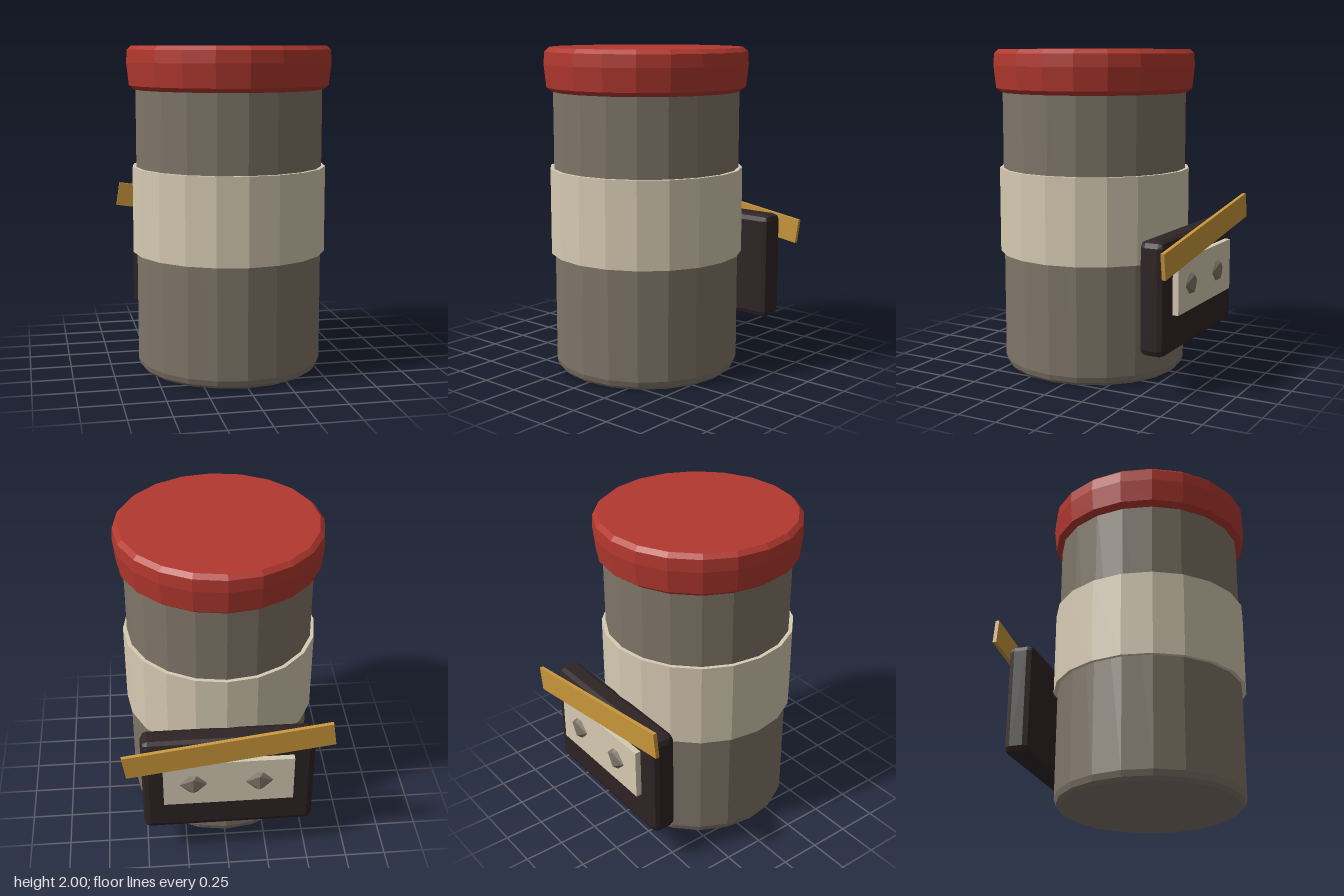
import * as THREE from 'three';
import { RoundedBoxGeometry } from 'three/addons/geometries/RoundedBoxGeometry.js';

const SIDES = 20;

function material(name, color) {
  const m = new THREE.MeshStandardMaterial({ color, flatShading: true });
  m.name = name;
  return m;
}

export function createModel() {
  const group = new THREE.Group();
  group.name = 'canister';

  const grey = material('warm grey', 0x7f7568);
  const cream = material('cream', 0xd6cab2);
  const red = material('red', 0xb2382f);
  const dark = material('dark brown', 0x2e2325);
  const gold = material('gold', 0xc8963a);

  function add(name, geometry, mat, x, y, z) {
    const mesh = new THREE.Mesh(geometry, mat);
    mesh.name = name;
    mesh.position.set(x, y, z);
    group.add(mesh);
    return mesh;
  }

  // Faceted round parts, from [radius, height] profiles running upwards
  function turned(name, profile, mat) {
    const points = profile.map(([r, y]) => new THREE.Vector2(r, y));
    return add(name, new THREE.LatheGeometry(points, SIDES), mat, -0.008, 0, 0.083);
  }

  turned('body', [[0, 0.005], [0.54, 0.005], [0.562, 0.025], [0.573, 0.06], [0.573, 1.8], [0, 1.8]], grey);
  turned('labelBand', [[0.56, 0.74], [0.597, 0.74], [0.597, 1.268], [0.56, 1.268]], cream);
  turned('lid', [[0, 1.737], [0.58, 1.737], [0.612, 1.762], [0.627, 1.9], [0.622, 1.975], [0.595, 2], [0, 2]], red);

  // Control box on the back
  add('backBox', new RoundedBoxGeometry(1.05, 0.68, 0.16, 1, 0.04), dark, -0.008, 0.588, -0.57);
  add('facePlate', new THREE.BoxGeometry(0.79, 0.32, 0.06), cream, -0.005, 0.642, -0.657);

  for (const x of [-0.19, 0.21]) {
    const knob = add('knob', new THREE.IcosahedronGeometry(0.095, 0), grey, x, 0.642, -0.657);
    knob.scale.z = 0.68;
  }

  // Tilted bar behind the box
  const bar = add('bar', new THREE.BoxGeometry(1.255, 0.155, 0.024), gold, -0.003, 0.903, -0.695);
  bar.rotation.z = -0.145;

  return group;
}
